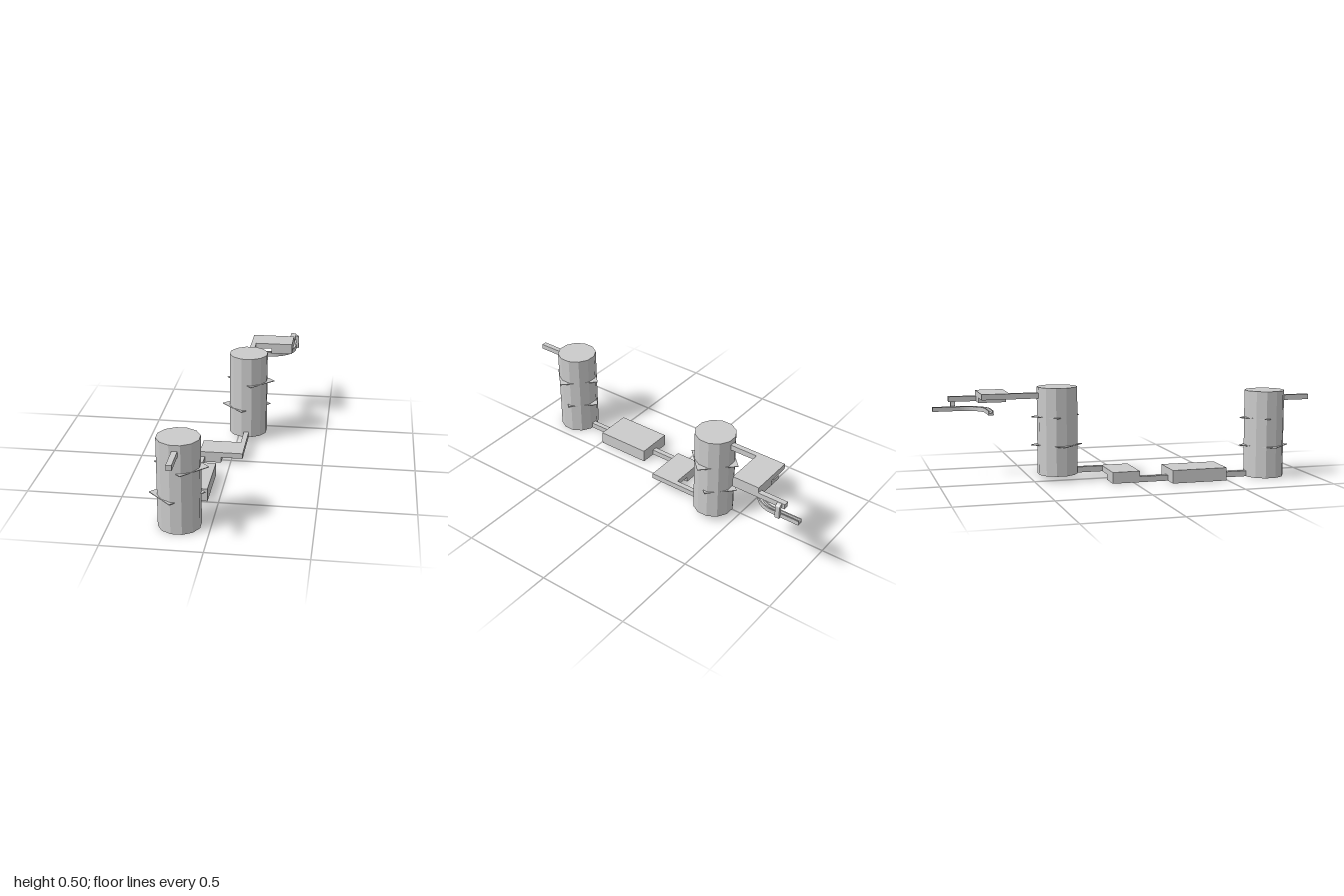
import * as THREE from 'three';

export function createModel() {
  const model = new THREE.Group();
  const material = new THREE.MeshStandardMaterial({ color: 0xcccccc, flatShading: true });

  const add = (name, geometry, parent = model) => {
    const mesh = new THREE.Mesh(geometry, material);
    mesh.name = name;
    parent.add(mesh);
    return mesh;
  };

  // Box given by its limits on each axis
  const box = (name, x0, x1, y0, y1, z0, z1) =>
    add(name, new THREE.BoxGeometry(x1 - x0, y1 - y0, z1 - z0))
      .position.set((x0 + x1) / 2, (y0 + y1) / 2, (z0 + z1) / 2);

  // Twelve-sided tower with two thin tilted plates whose corners stick out
  const tower = (name, x, z, base, plateHeights) => {
    const group = new THREE.Group();
    group.name = name;
    group.position.set(x, 0, z);
    const drum = add('drum', new THREE.CylinderGeometry(0.108, 0.108, 0.47, 12), group);
    drum.position.y = base + 0.235;
    drum.rotation.y = Math.PI / 12;
    plateHeights.forEach((y, i) => {
      const side = i === 0 ? -1 : 1;
      const plate = add('innerPlate', new THREE.BoxGeometry(0.2135, 0.004, 0.171), group);
      plate.position.set(side * 0.012, y, -0.008);
      plate.rotation.y = -side * Math.PI / 4;
    });
    model.add(group);
  };
  tower('frontTower', -0.155, 0.745, 0, [0.17, 0.322]);
  tower('rearTower', 0.053, -0.362, 0.03, [0.19, 0.342]);

  // Front inlet and lower track
  box('inletBar', -0.169, -0.141, 0.412, 0.44, 0.83, 1);
  box('lowerBarFront', -0.169, -0.141, 0, 0.03, 0.49, 0.66);
  box('lowerBlock', -0.253, -0.057, 0, 0.07, 0.19, 0.493);
  box('lowerBarRear', -0.169, -0.141, 0, 0.03, 0.03, 0.19);

  // Stepped platforms: a full slab plus a half block underneath
  box('lowerPlatformTop', -0.169, 0.067, 0.03, 0.06, -0.115, 0.034);
  box('lowerPlatformStep', -0.169, -0.051, 0, 0.03, -0.115, 0.034);
  box('rearTowerInlet', 0.039, 0.067, 0.03, 0.06, -0.27, -0.115);
  box('rearTowerOutlet', 0.039, 0.067, 0.44, 0.47, -0.62, -0.45);
  box('upperPlatformTop', 0.039, 0.277, 0.44, 0.47, -0.767, -0.618);
  box('upperPlatformStep', 0.158, 0.277, 0.412, 0.44, -0.767, -0.618);
  box('outletBar', 0.25, 0.278, 0.412, 0.44, -0.915, -0.767);

  // Curved channel: flat L-shaped bands between two radii, raised upward
  const cx = 0.142, cy = 0.85, endX = 0.035;
  const band = (name, r0, r1, y, height) => {
    const s = new THREE.Shape();
    s.moveTo(cx + r1, 1);
    s.lineTo(cx + r1, cy);
    s.absarc(cx, cy, r1, 0, -Math.PI / 2, true);
    s.lineTo(endX, cy - r1);
    s.lineTo(endX, cy - r0);
    s.lineTo(cx, cy - r0);
    s.absarc(cx, cy, r0, -Math.PI / 2, 0, false);
    s.lineTo(cx + r0, 1);
    s.closePath();
    const g = new THREE.ExtrudeGeometry(s, { depth: height, bevelEnabled: false, curveSegments: 10 });
    g.rotateX(-Math.PI / 2);
    add(name, g).position.y = y;
  };
  band('railFloor', 0.116, 0.144, 0.36, 0.01);
  band('railInnerWall', 0.116, 0.122, 0.37, 0.013);
  band('railOuterWall', 0.138, 0.144, 0.37, 0.013);

  // Hooked bracket joining the outlet bar to the curved rail
  const hook = new THREE.Shape();
  hook.moveTo(0.276, 0.439);
  hook.quadraticCurveTo(0.299, 0.434, 0.299, 0.422);
  hook.lineTo(0.299, 0.36);
  hook.lineTo(0.284, 0.36);
  hook.quadraticCurveTo(0.286, 0.375, 0.279, 0.387);
  hook.quadraticCurveTo(0.284, 0.398, 0.284, 0.412);
  hook.lineTo(0.276, 0.412);
  hook.closePath();
  add('railBracket', new THREE.ExtrudeGeometry(hook, { depth: 0.024, bevelEnabled: false, curveSegments: 6 }))
    .position.z = -0.9;

  return model;
}
